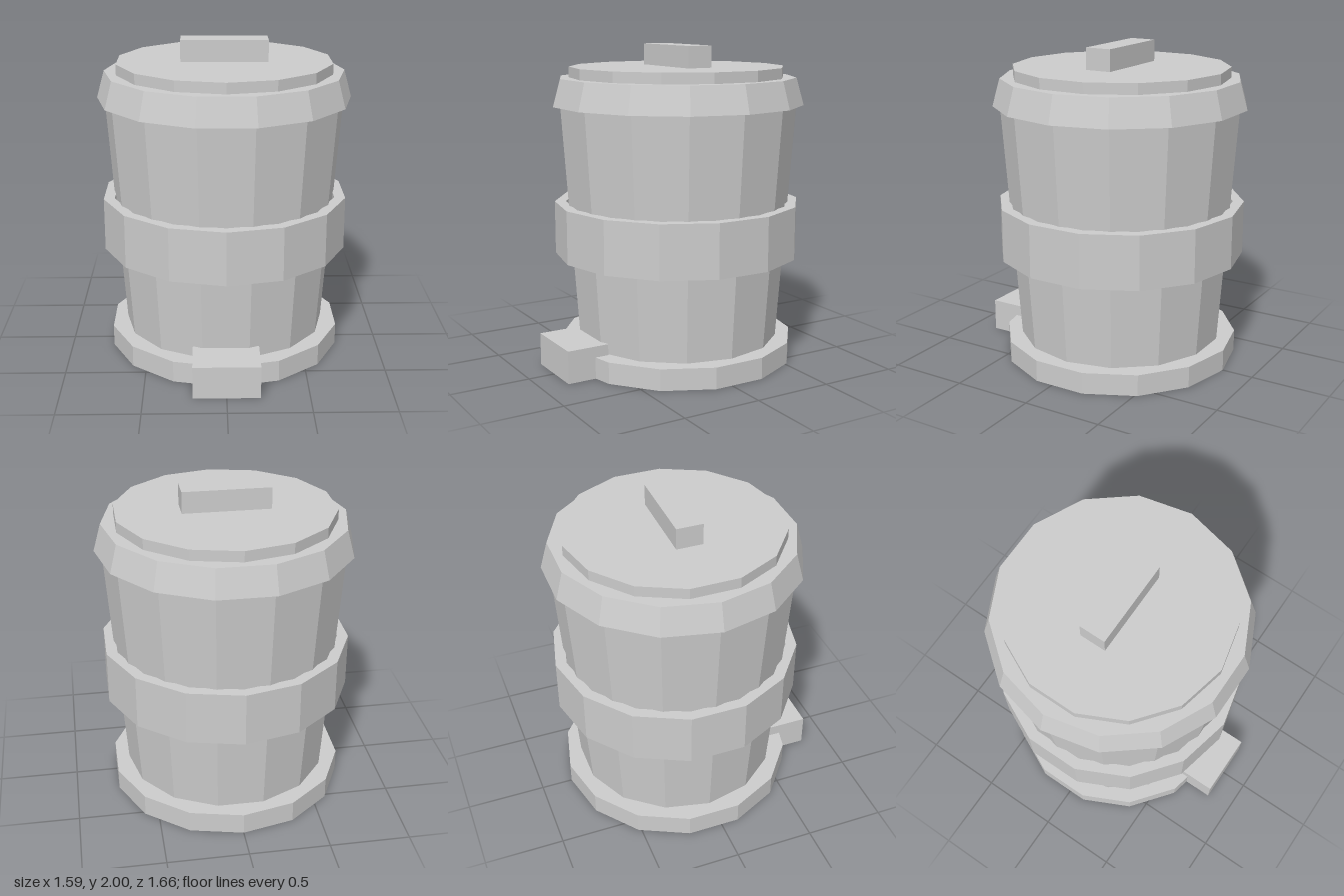
import * as THREE from 'three';

const SIDES = 14;

export function createModel() {
  const model = new THREE.Group();
  model.name = 'pedalBin';
  const grey = new THREE.MeshStandardMaterial({ color: 0xcccccc, flatShading: true });
  grey.name = 'light grey';

  // Everything round shares an axis set slightly back to leave room for the pedal
  const drum = new THREE.Group();
  drum.name = 'drum';
  drum.position.z = -0.053;
  model.add(drum);

  function add(parent, name, geometry) {
    const mesh = new THREE.Mesh(geometry, grey);
    mesh.name = name;
    parent.add(mesh);
    return mesh;
  }

  // Faceted turned part; the profile runs up the outside, then inwards
  function turned(name, profile, flatFront) {
    const points = profile.map(([r, y]) => new THREE.Vector2(r, y));
    const start = flatFront ? Math.PI / SIDES : 0;
    return add(drum, name, new THREE.LatheGeometry(points, SIDES, start));
  }

  // Square-section hoop
  function hoop(name, inner, outer, y0, y1) {
    turned(name, [[inner, y0], [outer, y0], [outer, y1], [inner, y1], [inner, y0]], false);
  }

  // Box given by its limits
  function box(parent, name, [x0, x1], [y0, y1], [z0, z1]) {
    add(parent, name, new THREE.BoxGeometry(x1 - x0, y1 - y0, z1 - z0))
      .position.set((x0 + x1) / 2, (y0 + y1) / 2, (z0 + z1) / 2);
  }

  // Tapered body and the hoops around it
  turned('body', [[0, 0.13], [0.645, 0.13], [0.752, 1.66], [0, 1.66]], true);
  hoop('baseRing', 0.6, 0.747, 0, 0.135);
  hoop('middleBand', 0.71, 0.78, 0.68, 1.015);

  // Overhanging hollow lid, raised disc and handle
  turned('lid', [[0.76, 1.63], [0.795, 1.63], [0.748, 1.8], [0, 1.8], [0, 1.75], [0.73, 1.75], [0.76, 1.63]], true);
  turned('lidDisc', [[0, 1.79], [0.677, 1.79], [0.677, 1.866], [0, 1.866]], false);
  box(drum, 'lidHandle', [-0.27, 0.27], [1.86, 2], [-0.083, 0.083]);

  // Foot pedal
  box(model, 'pedal', [-0.204, 0.204], [0, 0.205], [0.56, 0.83]);

  return model;
}
